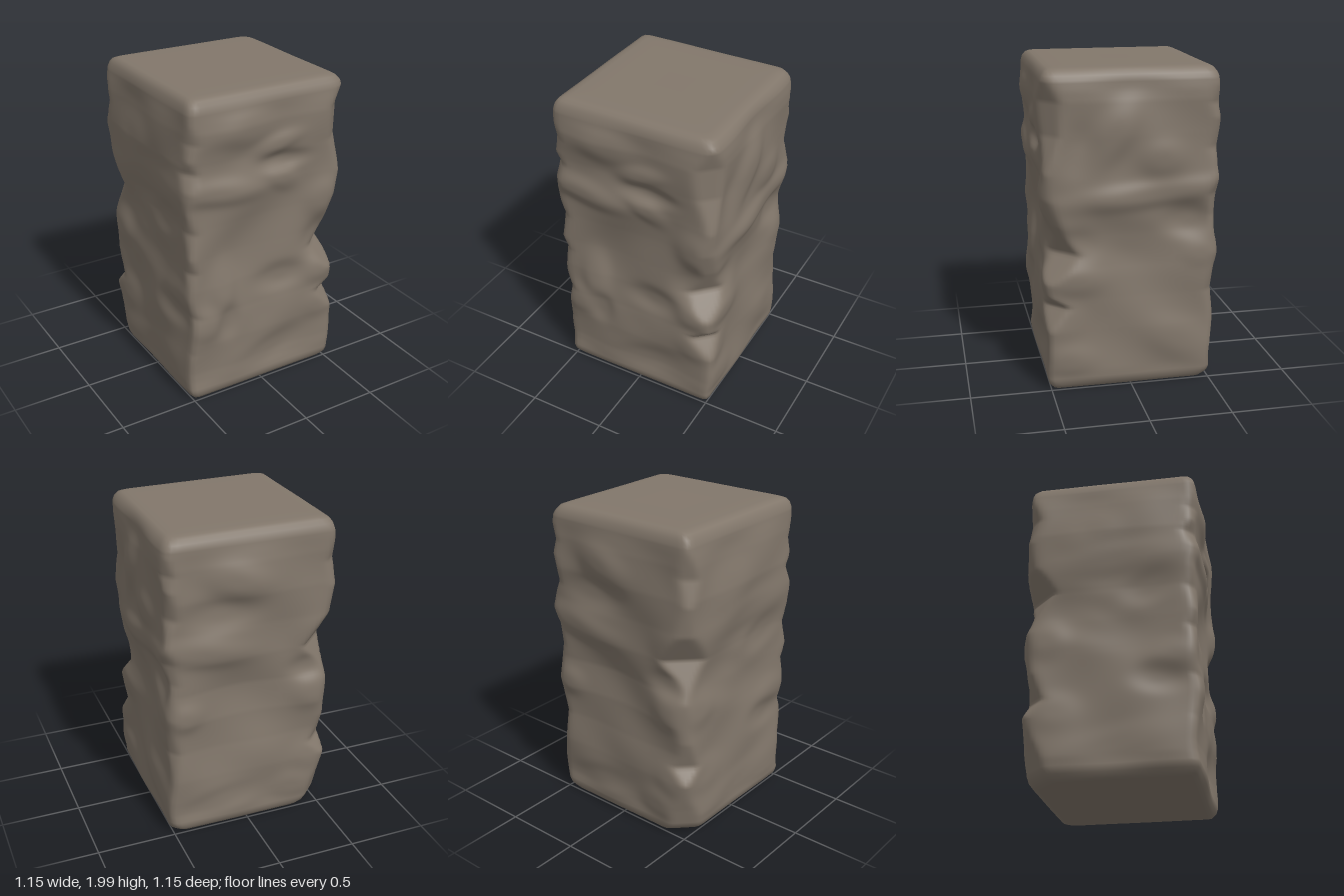
import * as THREE from 'three';

const SEG = 176, ROWS = 120;

// Sideways reach of the block at heights 0, 0.2, ... 2.0 for each side
const reach = {
  right: [0.53, 0.53, 0.53, 0.525, 0.525, 0.53, 0.54, 0.545, 0.55, 0.55, 0.53],
  left: [0.53, 0.53, 0.53, 0.53, 0.53, 0.535, 0.535, 0.55, 0.56, 0.55, 0.53],
  front: [0.525, 0.515, 0.52, 0.515, 0.525, 0.525, 0.53, 0.54, 0.54, 0.55, 0.535],
  back: [0.525, 0.525, 0.53, 0.525, 0.535, 0.525, 0.54, 0.54, 0.55, 0.545, 0.525],
};

// Distance from the axis of the bevel cutting each upright corner: height, distance
const corners = {
  rightfront: [[0, 0.73], [0.4, 0.735], [0.55, 0.64], [0.62, 0.72], [0.7, 0.72], [0.87, 0.58], [1.05, 0.66],
    [1.22, 0.715], [1.38, 0.735], [1.6, 0.68], [1.8, 0.685], [1.95, 0.73], [2, 0.72]],
  leftfront: [[0, 0.735], [0.27, 0.739], [0.35, 0.715], [0.5, 0.739], [0.61, 0.7], [0.73, 0.739], [0.92, 0.7],
    [1.02, 0.735], [1.18, 0.7], [1.3, 0.739], [1.45, 0.739], [1.56, 0.7], [1.64, 0.735], [1.74, 0.715],
    [1.85, 0.739], [2, 0.735]],
  leftback: [[0, 0.62], [0.2, 0.67], [0.4, 0.73], [0.5, 0.65], [0.68, 0.7], [0.95, 0.72], [1.2, 0.61],
    [1.38, 0.71], [1.57, 0.74], [1.73, 0.7], [1.9, 0.735], [2, 0.73]],
  rightback: [[0, 0.69], [0.25, 0.725], [0.4, 0.71], [0.6, 0.685], [0.84, 0.73], [1.08, 0.695], [1.22, 0.71],
    [1.34, 0.76], [1.5, 0.7], [1.68, 0.732], [1.77, 0.71], [1.88, 0.732], [2, 0.71]],
};

// Ledges (+) and hollows (-): across, height, half width, half height, depth, slant
const carvings = {
  front: [
    [-0.33, 1.42, 0.24, 0.07, 0.025, -0.1], [-0.3, 1.62, 0.22, 0.1, -0.015], [0.06, 1.65, 0.13, 0.05, 0.02, 0.2],
    [-0.15, 1.77, 0.16, 0.1, 0.02], [0.1, 1.53, 0.14, 0.05, -0.03], [0.1, 1.42, 0.1, 0.07, 0.015, -0.4],
    [0.42, 1.22, 0.11, 0.11, 0.025], [0.43, 0.94, 0.12, 0.12, -0.035], [0.43, 0.72, 0.12, 0.08, 0.02],
    [-0.05, 1.02, 0.28, 0.27, -0.035, 0.3], [-0.3, 0.78, 0.08, 0.16, 0.025], [-0.44, 0.55, 0.1, 0.1, 0.02],
    [-0.27, 0.53, 0.07, 0.1, -0.02], [0.13, 0.74, 0.15, 0.08, -0.025], [0.0, 0.5, 0.2, 0.15, 0.015],
    [0.43, 0.46, 0.11, 0.09, 0.015], [0.05, 0.22, 0.22, 0.09, -0.015, 0.25],
  ],
  right: [
    [-0.12, 1.24, 0.42, 0.07, 0.025, -0.08], [0.12, 1.6, 0.14, 0.14, 0.03, -0.8], [-0.18, 1.45, 0.12, 0.1, 0.02],
    [0.33, 1.5, 0.12, 0.14, -0.015], [-0.36, 1.06, 0.14, 0.09, -0.03], [0.4, 1.1, 0.12, 0.1, 0.01],
    [0.05, 0.95, 0.3, 0.14, -0.02, 0.2], [0.36, 0.72, 0.17, 0.08, 0.015], [0.4, 0.92, 0.14, 0.1, -0.02],
    [-0.43, 0.85, 0.1, 0.07, 0.01], [0.43, 0.46, 0.12, 0.09, 0.01], [-0.3, 0.3, 0.2, 0.12, 0.015, 0.3],
    [0.4, 0.2, 0.14, 0.09, 0.015],
  ],
  back: [
    [0.3, 1.27, 0.26, 0.08, 0.02, 0.15], [0.1, 1.7, 0.17, 0.1, 0.025, 0.2], [0.2, 1.5, 0.2, 0.09, -0.025],
    [0.05, 0.85, 0.3, 0.27, -0.035], [-0.4, 1.28, 0.12, 0.1, 0.01], [-0.42, 0.88, 0.12, 0.1, 0.02],
    [-0.42, 0.42, 0.11, 0.1, 0.015], [0.43, 0.85, 0.1, 0.08, 0.02], [-0.4, 1.06, 0.12, 0.07, -0.025],
    [-0.3, 0.2, 0.12, 0.09, 0.015], [0.2, 0.2, 0.2, 0.08, -0.015, -0.2],
  ],
  left: [
    [0.05, 1.4, 0.3, 0.09, 0.015, 0.1], [-0.14, 1.6, 0.18, 0.15, 0.02], [0.25, 1.2, 0.16, 0.09, -0.02, 0.3],
    [-0.4, 0.88, 0.12, 0.1, 0.02], [-0.1, 1.0, 0.25, 0.14, -0.025, -0.3], [0.38, 0.73, 0.14, 0.09, 0.015],
    [0.3, 0.6, 0.15, 0.08, -0.02], [-0.35, 0.42, 0.15, 0.1, 0.015], [0.0, 0.2, 0.3, 0.09, 0.01, 0.2],
  ],
};

const reachAt = (side, y) => {
  const t = Math.min(Math.max(y * 5, 0), 9.999), i = Math.floor(t);
  return THREE.MathUtils.lerp(reach[side][i], reach[side][i + 1], t - i);
};

const cornerAt = (name, y) => {
  const list = corners[name];
  const i = Math.max(1, list.findIndex(([h]) => h >= y));
  const [y0, d0] = list[i - 1], [y1, d1] = list[i];
  return THREE.MathUtils.lerp(d0, d1, (y - y0) / (y1 - y0));
};

// Flat-topped soft patch for every carving on a side
const carve = (side, a, y) => carvings[side].reduce((sum, [ca, cy, w, h, d, slant = 0]) => {
  const u = (a - ca) / w, v = (y - cy - slant * (a - ca)) / h;
  return sum + d * Math.exp(-0.7 * (u * u + v * v) ** 1.5);
}, 0);

// Gentle unevenness of the weathered faces
const ripple = (a, y, k) => 0.007 * Math.sin(a * 9 + y * 5 + k) + 0.006 * Math.sin(y * 11 - a * 9 + k * 2.3);

// Point on the block's wall at an angle and height; inset shrinks it toward the axis
function wallPoint(angle, y, inset) {
  const c = Math.cos(angle), s = Math.sin(angle), n = 45;
  const r = 1 / (Math.abs(c) ** n + Math.abs(s) ** n) ** (1 / n);
  const ux = r * c, uz = r * s;
  const sx = ux > 0 ? 'right' : 'left', sz = uz > 0 ? 'front' : 'back';
  const edge = Math.min(1, Math.min(y, 2 - y) / 0.14);
  const push = (side, a, k) => reachAt(side, y) - 0.006 + edge * (carve(side, a, y) + ripple(a, y, k));
  const x = ux * push(sx, uz * 0.53, ux > 0 ? 1 : 4);
  const z = uz * push(sz, ux * 0.53, uz > 0 ? 2 : 6);
  // cut the corner back with a softened bevel
  const diagonal = (Math.abs(x) + Math.abs(z)) / Math.SQRT2, soft = 0.01;
  const excess = soft * Math.log(1 + Math.exp((diagonal - cornerAt(sx + sz, y) - 0.005) / soft));
  const scale = (1 - excess / diagonal) * (1 - inset);
  return [x * scale, z * scale];
}

function buildBlock() {
  // Rows: bottom centre, rounded lower edge, wall, rounded upper edge, top centre
  const rows = [[0.008, 1], [0.008, 0.6], [0.008, 0.25], [0.01, 0.12], [0.016, 0.06], [0.045, 0.015]];
  for (let i = 0; i <= ROWS; i++) rows.push([0.075 + 1.85 * i / ROWS, 0]);
  rows.push([1.955, 0.014], [1.98, 0.045], [1.99, 0.09], [1.994, 0.16], [1.994, 0.35], [1.994, 0.65], [1.994, 1]);

  const pos = [], index = [];
  for (const [y, inset] of rows) {
    for (let j = 0; j < SEG; j++) {
      const [x, z] = wallPoint(j / SEG * Math.PI * 2, y, inset);
      pos.push(x, y > 1.95 ? y - 0.008 * x : y, z);
    }
  }
  for (let i = 0; i < rows.length - 1; i++) {
    for (let j = 0; j < SEG; j++) {
      const a = i * SEG + j, b = i * SEG + (j + 1) % SEG;
      if (i < rows.length - 2) index.push(a, a + SEG, b + SEG);
      if (i > 0) index.push(a, b + SEG, b);
    }
  }
  const geometry = new THREE.BufferGeometry();
  geometry.setAttribute('position', new THREE.Float32BufferAttribute(pos, 3));
  geometry.setIndex(index);
  geometry.computeVertexNormals();
  // cap centres collapse to a point, so give them straight normals
  const normal = geometry.attributes.normal, last = (rows.length - 1) * SEG;
  for (let j = 0; j < SEG; j++) {
    normal.setXYZ(j, 0, -1, 0);
    normal.setXYZ(last + j, 0, 1, 0);
  }
  return geometry;
}

export function createModel() {
  const stone = new THREE.MeshStandardMaterial({ color: 0x82776b });
  stone.name = 'weathered stone';
  const block = new THREE.Mesh(buildBlock(), stone);
  block.name = 'stonePillar';
  const group = new THREE.Group();
  group.name = 'rockPillar';
  group.add(block);
  return group;
}
